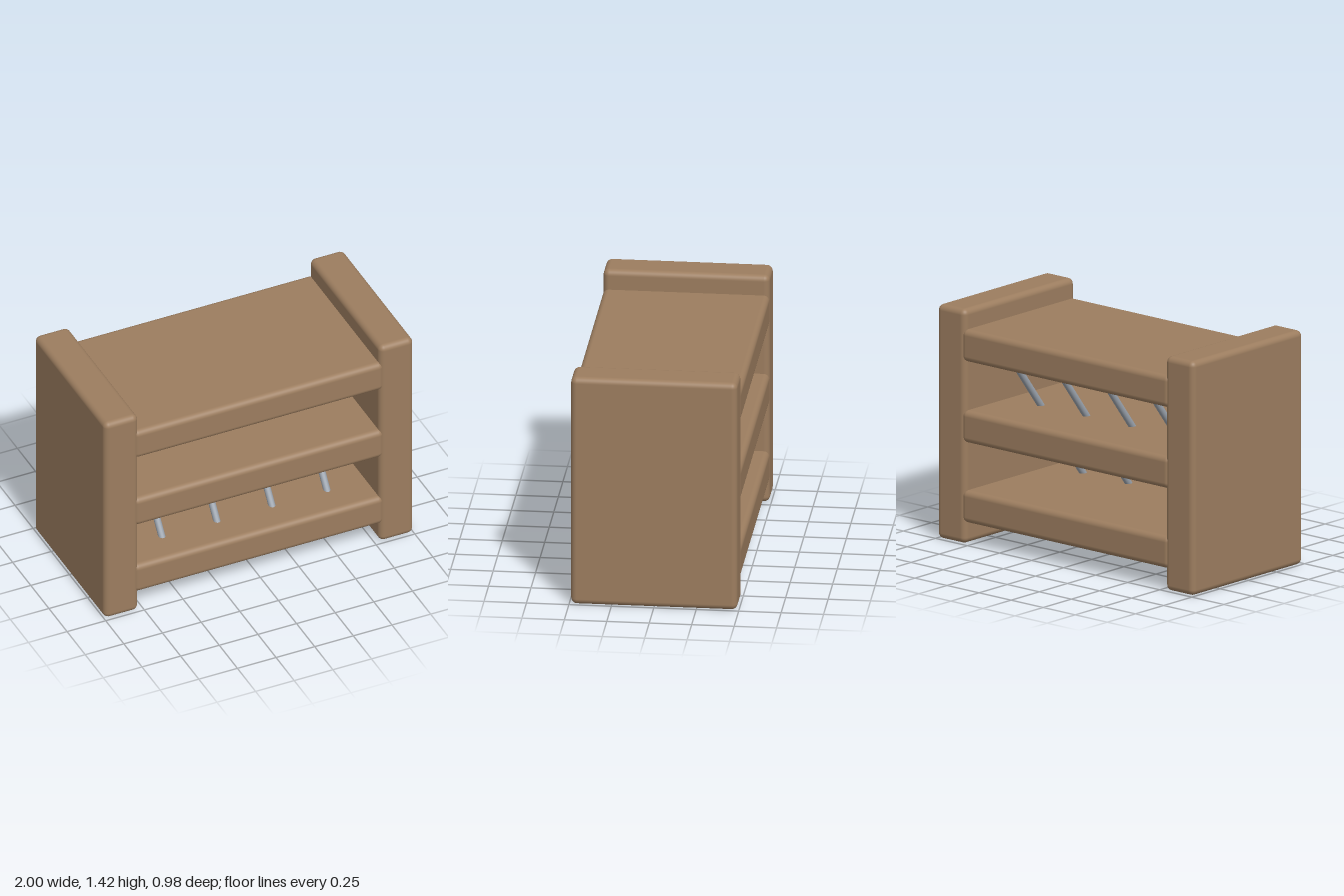
import * as THREE from 'three';
import { RoundedBoxGeometry } from 'three/addons/geometries/RoundedBoxGeometry.js';

const DEPTH = 0.98;
const HEIGHT = 1.42;
const BEVEL = 0.035;

export function createModel() {
  const wood = new THREE.MeshStandardMaterial({ color: 0x9c7d5f });
  wood.name = 'wood';
  const steel = new THREE.MeshStandardMaterial({ color: 0x9aa2ac });
  steel.name = 'steel';

  const model = new THREE.Group();
  model.name = 'shelfUnit';

  function add(name, geometry, material, x, y, z) {
    const mesh = new THREE.Mesh(geometry, material);
    mesh.name = name;
    mesh.position.set(x, y, z);
    model.add(mesh);
    return mesh;
  }

  // Thick side panels
  const panel = new RoundedBoxGeometry(0.22, HEIGHT, DEPTH, 4, BEVEL);
  add('leftPanel', panel, wood, 0.89, HEIGHT / 2, 0);
  add('rightPanel', panel, wood, -0.89, HEIGHT / 2, 0);

  // Three shelves, their rounded ends set into the panels
  const shelf = new RoundedBoxGeometry(1.62, 0.195, DEPTH, 4, BEVEL);
  const shelfHeights = { bottomShelf: 0.227, middleShelf: 0.712, topShelf: 1.203 };
  for (const [name, y] of Object.entries(shelfHeights)) {
    add(name, shelf, wood, 0, y, 0);
  }

  // Slanted rods running from low at the front to high at the back
  const slope = 0.77;
  const rise = 0.92;
  const rod = new THREE.CylinderGeometry(0.021, 0.021, rise * Math.hypot(1, slope), 16);
  for (let i = 0; i < 4; i++) {
    const mesh = add('rod' + (i + 1), rod, steel, -0.534 + i * 0.356, 0.712, -0.02);
    mesh.rotation.x = -Math.atan(slope);
  }

  return model;
}
